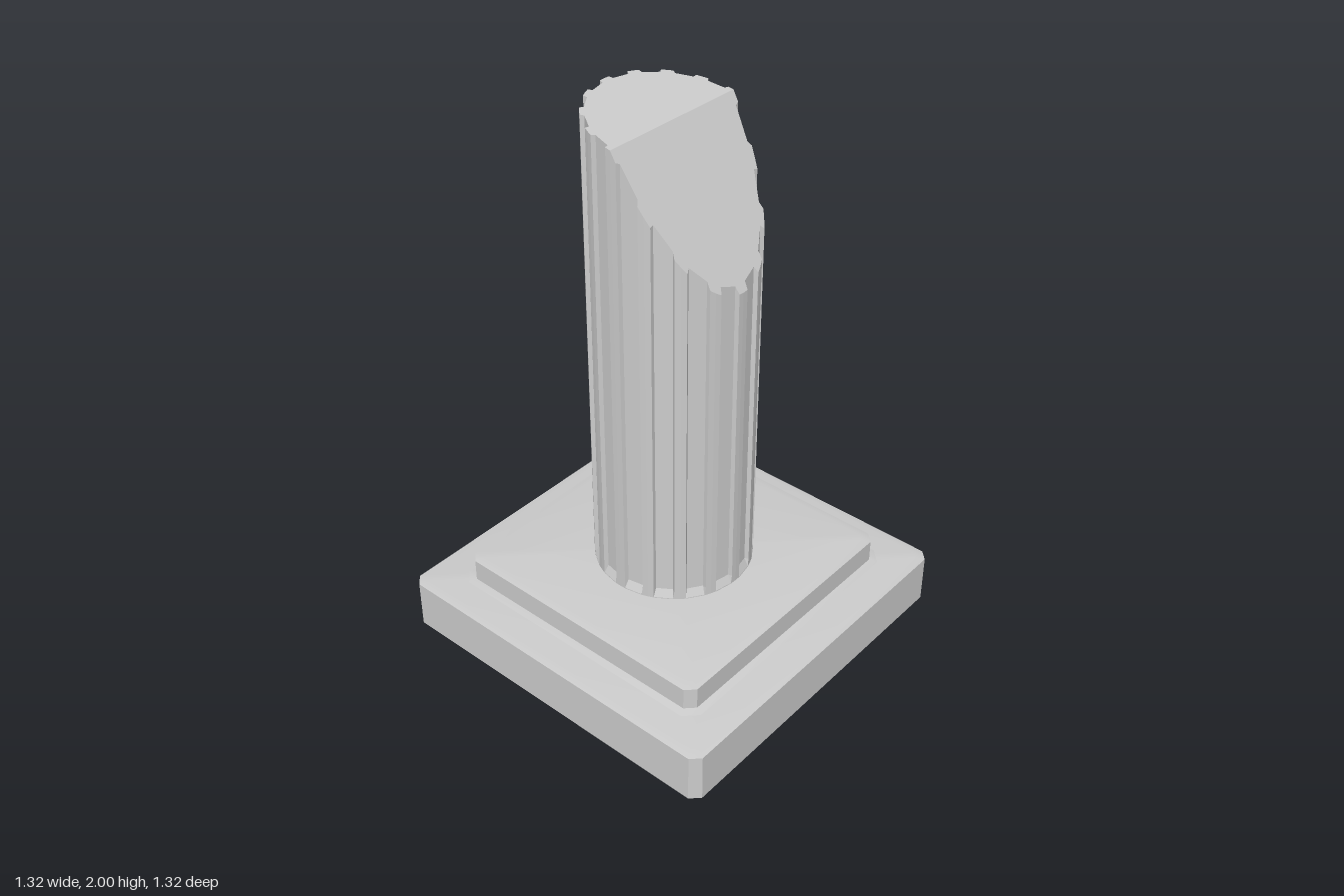
import * as THREE from 'three';
import { toCreasedNormals } from 'three/addons/utils/BufferGeometryUtils.js';

// Skin a stack of closed rings (counter-clockwise from above) and cap both ends
function loft(rings, bottomCentre, topCentre) {
  const pos = [];
  const tri = (...pts) => pts.forEach((p) => pos.push(p.x, p.y, p.z));
  const n = rings[0].length;
  const last = rings[rings.length - 1];
  for (let i = 0; i < n; i++) {
    const j = (i + 1) % n;
    for (let k = 0; k < rings.length - 1; k++) {
      const lo = rings[k], hi = rings[k + 1];
      tri(lo[i], lo[j], hi[j]);
      tri(lo[i], hi[j], hi[i]);
    }
    tri(bottomCentre, rings[0][j], rings[0][i]);
    tri(topCentre, last[i], last[j]);
  }
  const geo = new THREE.BufferGeometry();
  geo.setAttribute('position', new THREE.Float32BufferAttribute(pos, 3));
  geo.computeVertexNormals();
  return geo;
}

// Square ring with clipped corners
function squareRing(h, c, y) {
  const ring = [];
  for (let q = 0; q < 4; q++) {
    for (const v of [c - h, h - c]) {
      ring.push(new THREE.Vector3(h, y, -v).applyAxisAngle(new THREE.Vector3(0, 1, 0), q * Math.PI / 2));
    }
  }
  return ring;
}

// Slab with softly bevelled edges, from [half width, corner cut, height] steps
function slab(name, steps, material) {
  const rings = steps.map((s) => squareRing(...s));
  const geo = loft(rings, new THREE.Vector3(0, steps[0][2], 0),
    new THREE.Vector3(0, steps[steps.length - 1][2], 0));
  const mesh = new THREE.Mesh(toCreasedNormals(geo, 0.5), material);
  mesh.name = name;
  return mesh;
}

// Fluted outline: 16 flat-bottomed grooves separated by narrow lands
const RADIUS = 0.282, FLUTES = 16;
function flutedRing(depth, heightAt) {
  const ring = [];
  const profile = [[0, 0], [4, 0], [5, 1], [17.5, 1], [18.5, 0]];
  for (let f = 0; f < FLUTES; f++) {
    for (const [deg, groove] of profile) {
      const a = THREE.MathUtils.degToRad(f * 360 / FLUTES + deg);
      const r = RADIUS - groove * depth;
      const x = r * Math.cos(a);
      ring.push(new THREE.Vector3(x, heightAt(x), -r * Math.sin(a)));
    }
  }
  return ring;
}

export function createModel() {
  const group = new THREE.Group();
  group.name = 'brokenColumn';
  const smooth = new THREE.MeshStandardMaterial({ color: 0xcccccc });
  const faceted = new THREE.MeshStandardMaterial({ color: 0xcccccc, flatShading: true });

  // Two-step square base
  group.add(slab('lowerPlinth', [
    [0.635, 0.03, 0], [0.66, 0.032, 0.008], [0.66, 0.032, 0.19], [0.63, 0.025, 0.197],
  ], smooth));
  group.add(slab('upperPlinth', [
    [0.55, 0.05, 0.195], [0.515, 0.032, 0.203], [0.515, 0.032, 0.285], [0.485, 0.025, 0.292],
  ], smooth));

  // Shaft, broken off along two sloping planes that meet at x = 0
  const ridge = 1.95;
  const breakHeight = (x) => ridge - x * (x < 0 ? 0.05 / RADIUS : 1.75);
  const shaft = new THREE.Mesh(loft([
    flutedRing(0, () => 0.285),
    flutedRing(0, () => 0.295),
    flutedRing(0.014, () => 0.325),
    flutedRing(0.014, breakHeight),
  ], new THREE.Vector3(0, 0.285, 0), new THREE.Vector3(0, ridge, 0)), faceted);
  shaft.name = 'flutedShaft';
  group.add(shaft);

  return group;
}
